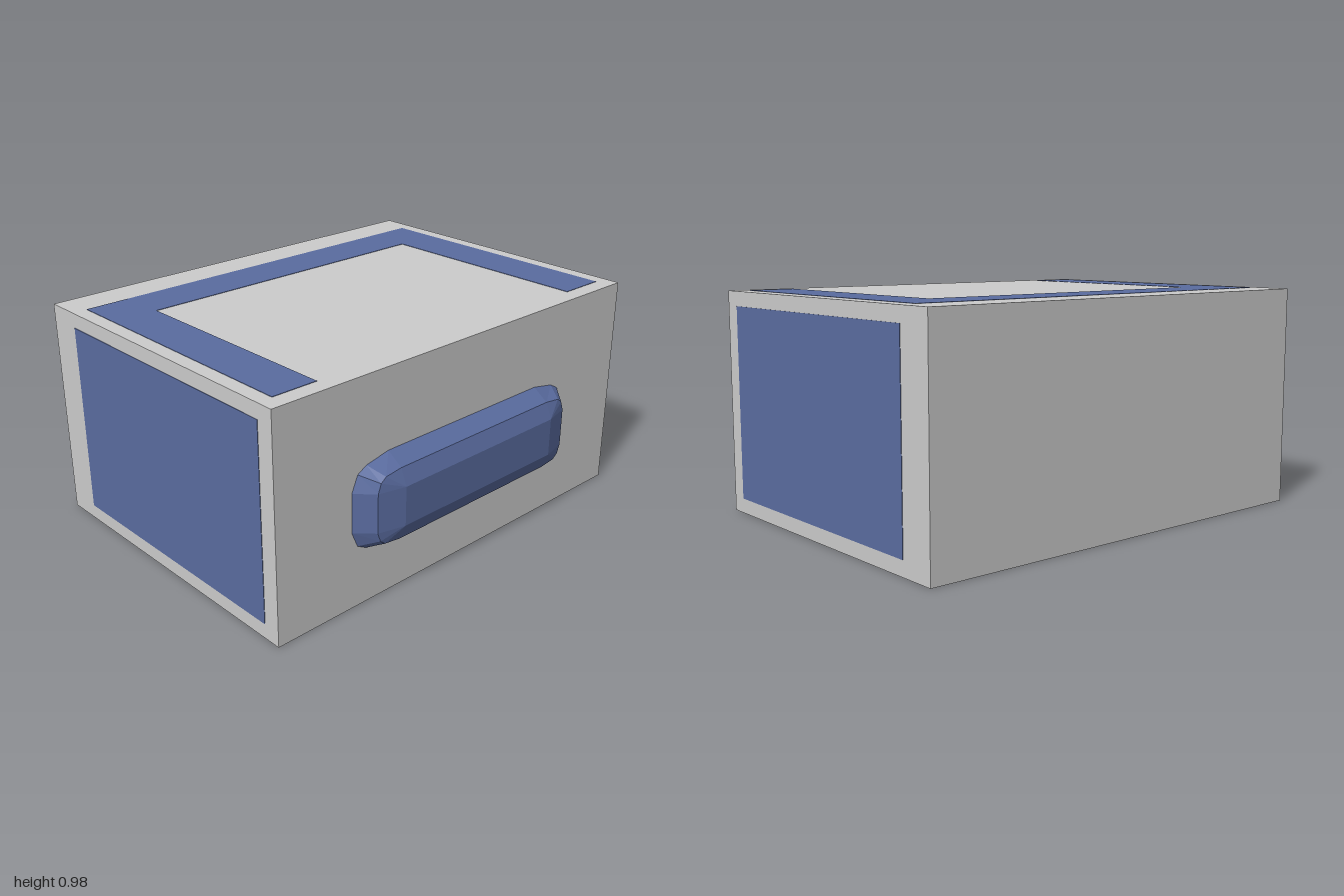
import * as THREE from 'three';

const grey = new THREE.MeshStandardMaterial({ color: 0xcccccc });
const blue = new THREE.MeshStandardMaterial({ color: 0x5a6ca0, flatShading: true });

function add(group, name, geometry, material) {
  const mesh = new THREE.Mesh(geometry, material);
  mesh.name = name;
  group.add(mesh);
  return mesh;
}

// Rounded outline mirrored from one quadrant, counter-clockwise seen from the front
function outline(quadrant) {
  const back = [...quadrant].reverse();
  return [
    ...quadrant,
    ...back.map(([x, y]) => [-x, y]),
    ...quadrant.map(([x, y]) => [-x, -y]),
    ...back.map(([x, y]) => [x, -y]),
  ];
}

// Soft pad lofted forwards through outlines at given depths, closed with a flat front
function padGeometry(layers) {
  const rings = layers.map(([z, q]) => outline(q).map(([x, y]) => new THREE.Vector3(x, y, z)));
  const pos = [];
  const tri = (...pts) => pts.forEach((p) => pos.push(p.x, p.y, p.z));
  const n = rings[0].length;
  for (let r = 0; r < rings.length - 1; r++) {
    for (let i = 0; i < n; i++) {
      const j = (i + 1) % n;
      const [a, b, c, d] = [rings[r][i], rings[r][j], rings[r + 1][j], rings[r + 1][i]];
      tri(a, b, c);
      if (c.distanceTo(d) > 1e-6) tri(a, c, d);
    }
  }
  const front = rings[rings.length - 1];
  for (let i = 1; i < n - 1; i++) {
    if (front[i].distanceTo(front[i + 1]) > 1e-6 && front[0].distanceTo(front[i]) > 1e-6
      && front[0].distanceTo(front[i + 1]) > 1e-6) tri(front[0], front[i], front[i + 1]);
  }
  const g = new THREE.BufferGeometry();
  g.setAttribute('position', new THREE.Float32BufferAttribute(pos, 3));
  g.computeVertexNormals();
  return g;
}

export function createModel() {
  const group = new THREE.Group();
  group.name = 'block';

  // Main block
  add(group, 'body', new THREE.BoxGeometry(2, 0.975, 1.46), grey).position.set(0, 0.4875, -0.05);

  // Thin panels set on both sides
  for (const [name, s] of [['leftPanel', 1], ['rightPanel', -1]]) {
    add(group, name, new THREE.BoxGeometry(0.01, 0.845, 1.22), blue)
      .position.set(s * 0.997, 0.488, -0.007);
  }

  // U-shaped band on top, open towards the front
  const u = new THREE.Shape([
    [-0.935, -0.605], [-0.73, -0.605], [-0.73, 0.41], [0.725, 0.41],
    [0.725, -0.605], [0.935, -0.605], [0.935, 0.62], [-0.935, 0.62],
  ].map(([x, y]) => new THREE.Vector2(x, y)));
  const band = add(group, 'topBand',
    new THREE.ExtrudeGeometry(u, { depth: 0.01, bevelEnabled: false }), blue);
  band.rotation.x = -Math.PI / 2;
  band.position.y = 0.967;

  // Rounded pad on the front
  const base = [[0.63, 0.085], [0.6, 0.155], [0.555, 0.18], [0.44, 0.203]];
  add(group, 'frontPad', padGeometry([
    [0.64, base],
    [0.68, base],
    [0.75, [[0.56, 0.085], [0.545, 0.125], [0.52, 0.145], [0.44, 0.155]]],
    [0.78, [[0.44, 0.085], [0.44, 0.085], [0.44, 0.085], [0.44, 0.085]]],
  ]), blue).position.y = 0.426;

  return group;
}
